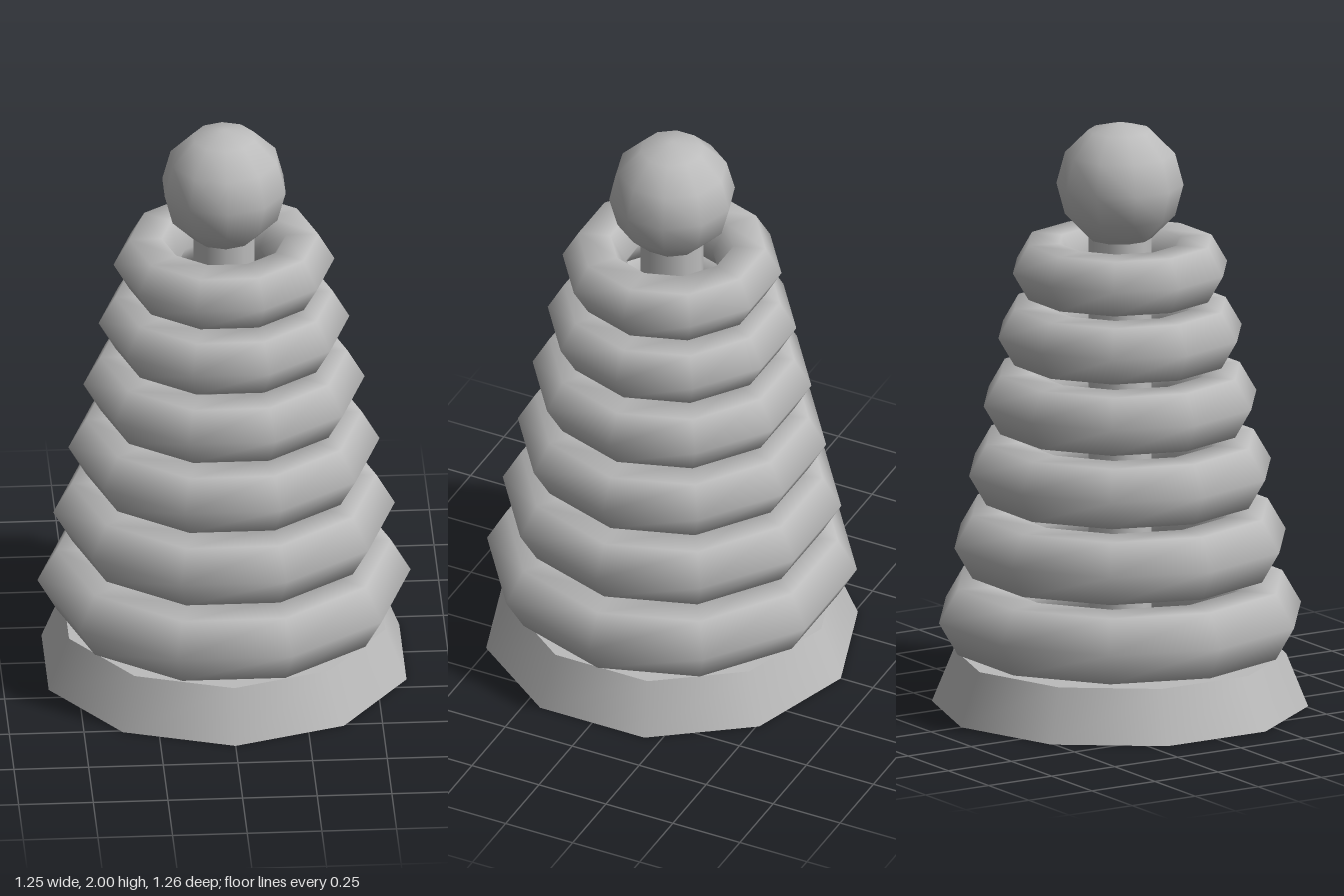
import * as THREE from 'three';

const SIDES = 10;

export function createModel() {
  const model = new THREE.Group();
  model.name = 'stackingRings';
  const grey = new THREE.MeshStandardMaterial({ color: 0xbcbcbc, side: THREE.DoubleSide });
  grey.name = 'grey';

  const add = (name, geometry, y) => {
    const mesh = new THREE.Mesh(geometry, grey);
    mesh.name = name;
    mesh.position.y = y;
    model.add(mesh);
  };

  // Hollow tapered base: an open wall closed by a top plate
  const baseHeight = 0.18, baseTop = 0.557;
  add('baseWall', new THREE.CylinderGeometry(baseTop, 0.63, baseHeight, SIDES, 1, true), baseHeight / 2);
  const plate = new THREE.CircleGeometry(baseTop, SIDES).rotateZ(-Math.PI / 2).rotateX(-Math.PI / 2);
  add('baseTop', plate, baseHeight);

  // Central pole
  add('pole', new THREE.CylinderGeometry(0.106, 0.106, 1.44, SIDES, 1, true), 0.9);

  // Rings, shrinking upwards: [height, ring radius, tube radius]
  const rings = [
    [0.313, 0.495, 0.13], [0.568, 0.448, 0.124], [0.813, 0.402, 0.119],
    [1.05, 0.356, 0.115], [1.28, 0.309, 0.111], [1.5, 0.262, 0.108],
  ];
  rings.forEach(([y, radius, tube], i) => {
    add(`ring${i + 1}`, new THREE.TorusGeometry(radius, tube, 6, SIDES).rotateX(Math.PI / 2), y);
  });

  // Ball on top
  add('ball', new THREE.SphereGeometry(0.213, SIDES, 6).rotateY(Math.PI / 2), 1.787);

  return model;
}
